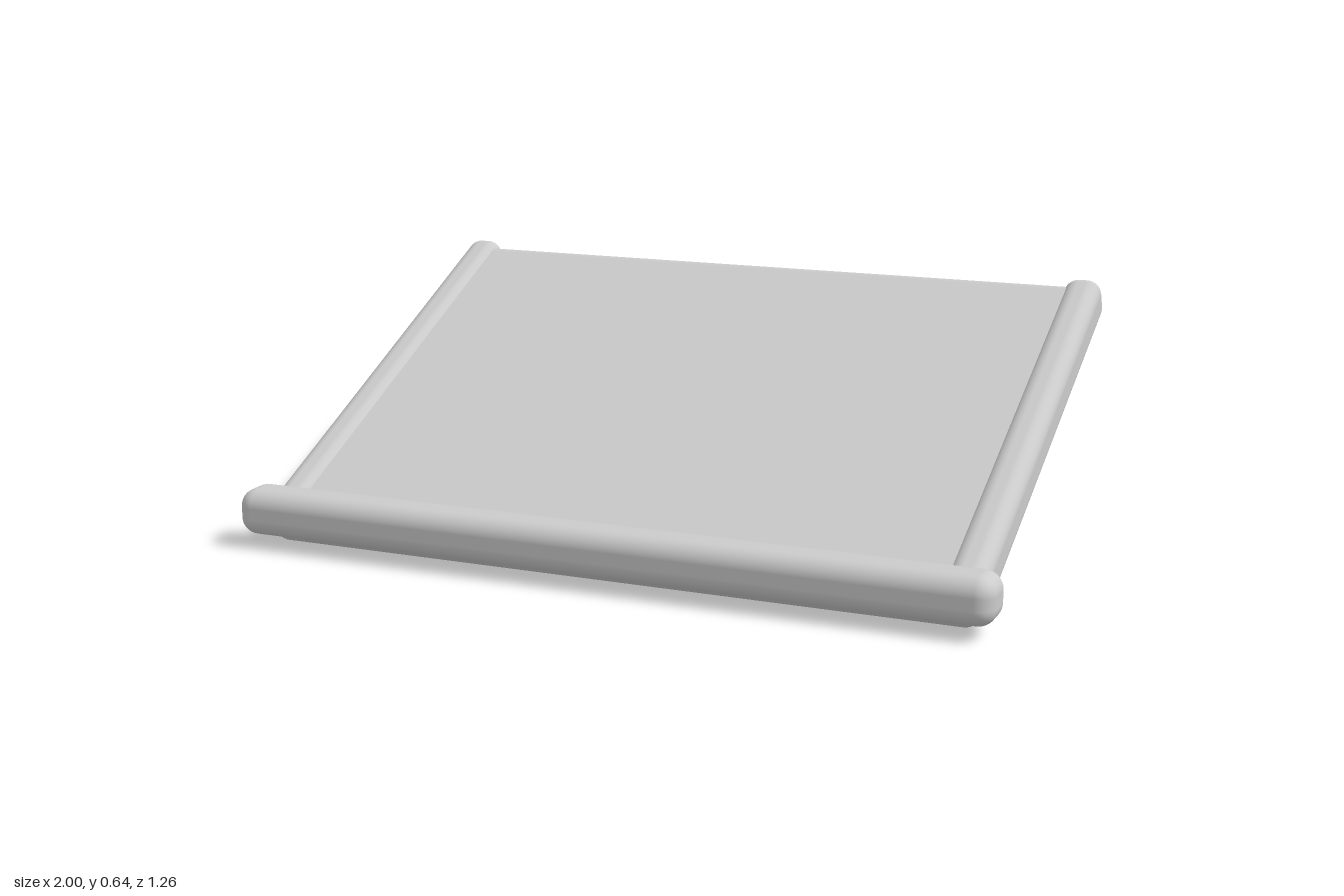
import * as THREE from 'three';
import { RoundedBoxGeometry } from 'three/addons/geometries/RoundedBoxGeometry.js';

const material = new THREE.MeshStandardMaterial({ color: 0xcccccc });

// Rounded block given by its [min, max] range on each axis
function block(name, [x0, x1], [y0, y1], [z0, z1], radius) {
  const geometry = new RoundedBoxGeometry(x1 - x0, y1 - y0, z1 - z0, 6, radius);
  const mesh = new THREE.Mesh(geometry, material);
  mesh.name = name;
  mesh.position.set((x0 + x1) / 2, (y0 + y1) / 2, (z0 + z1) / 2);
  return mesh;
}

export function createModel() {
  const model = new THREE.Group();
  model.name = 'slopedTray';

  // Sloping board with its two side rails, leaning back
  const slope = new THREE.Group();
  slope.name = 'slopedBoard';
  slope.rotation.x = THREE.MathUtils.degToRad(25);
  slope.add(block('panel', [-0.95, 0.95], [0.217, 0.33], [-0.795, 0.49], 0.045));
  slope.add(block('leftRail', [0.855, 0.955], [0.222, 0.343], [-0.81, 0.48], 0.04));
  slope.add(block('rightRail', [-0.955, -0.855], [0.222, 0.343], [-0.81, 0.48], 0.04));
  model.add(slope);

  // Ledge along the lower front edge
  model.add(block('frontLedge', [-1, 1], [0.035, 0.155], [0.5, 0.63], 0.045));

  return model;
}
